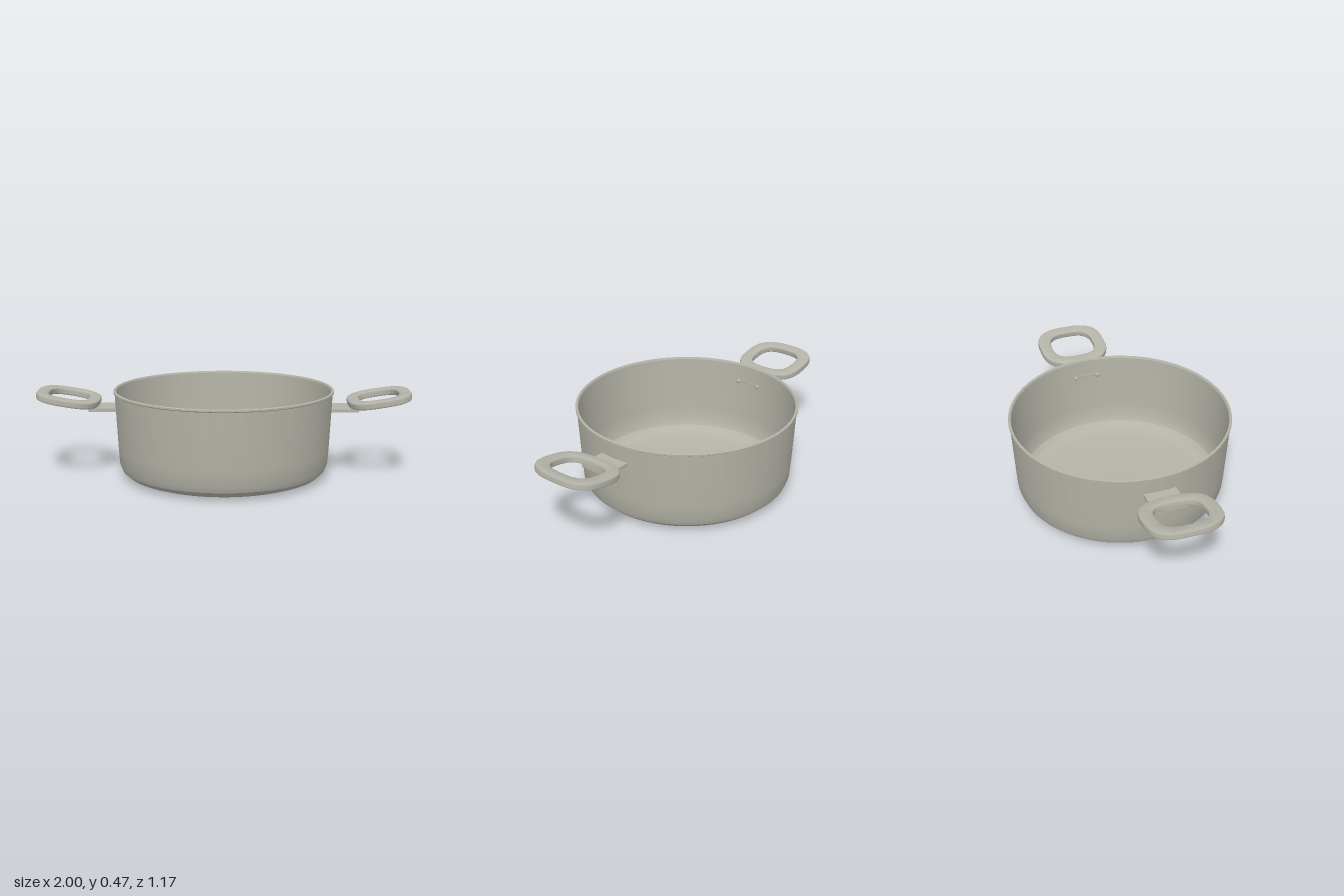
import * as THREE from 'three';
import { toCreasedNormals } from 'three/addons/utils/BufferGeometryUtils.js';

const steel = new THREE.MeshStandardMaterial({ color: 0xb4b3a8 });
steel.name = 'brushed steel';

function part(name, geometry, x = 0, y = 0, z = 0) {
  const mesh = new THREE.Mesh(geometry, steel);
  mesh.name = name;
  mesh.position.set(x, y, z);
  return mesh;
}

// Rounded-square loop as a superellipse
function loop(a, b, n, count = 56) {
  const points = [];
  for (let i = 0; i < count; i++) {
    const t = (i / count) * Math.PI * 2, c = Math.cos(t), s = Math.sin(t);
    points.push(new THREE.Vector2(
      a * Math.sign(c) * Math.abs(c) ** (2 / n),
      b * Math.sign(s) * Math.abs(s) ** (2 / n)));
  }
  return points;
}

// Thin-walled pot: outside upwards, over the rolled rim, inside down to the floor
function potGeometry() {
  const profile = [
    [0, 0], [0.44, 0], [0.482, 0.006], [0.52, 0.02], [0.547, 0.045], [0.56, 0.078],
    [0.566, 0.16], [0.581, 0.455], [0.587, 0.459], [0.587, 0.467], [0.584, 0.47],
    [0.575, 0.47], [0.571, 0.462], [0.556, 0.16], [0.55, 0.082], [0.537, 0.052],
    [0.513, 0.03], [0.478, 0.017], [0.44, 0.012], [0, 0.012],
  ].map(([r, y]) => new THREE.Vector2(r, y));
  return toCreasedNormals(new THREE.LatheGeometry(profile, 80), 0.35);
}

// Bevelled ring grip, lying flat and centred on its own origin
function gripGeometry() {
  const bevel = 0.01;
  const shape = new THREE.Shape(loop(0.169 - bevel, 0.194 - bevel, 2.9));
  shape.holes.push(new THREE.Path(loop(0.105 + bevel, 0.123 + bevel, 2.9).reverse()));
  const geometry = new THREE.ExtrudeGeometry(shape, {
    depth: 0.017, bevelEnabled: true, bevelSize: bevel, bevelThickness: bevel, bevelSegments: 2,
  });
  geometry.translate(0, 0, -0.0085);
  geometry.rotateX(-Math.PI / 2);
  return toCreasedNormals(geometry, 0.5);
}

function createHandle(name) {
  const handle = new THREE.Group();
  handle.name = name;

  // Ring tilted up and outwards
  const grip = part('grip', gripGeometry(), 0.83, 0.42, 0);
  grip.rotation.z = 0.165;
  handle.add(grip);

  // Flat bracket through the pot wall
  handle.add(part('bracket', new THREE.BoxGeometry(0.155, 0.018, 0.17), 0.638, 0.365, 0));

  // Rivets on the inside wall
  for (const z of [-0.065, 0.065]) {
    const rivet = part('rivet', new THREE.SphereGeometry(0.012, 16, 10), 0.561, 0.365, z);
    handle.add(rivet);
  }
  return handle;
}

export function createModel() {
  const model = new THREE.Group();
  model.name = 'cooking pot';
  model.add(part('pot', potGeometry()));
  model.add(createHandle('leftHandle'));
  const right = createHandle('rightHandle');
  right.rotation.y = Math.PI;
  model.add(right);
  return model;
}
